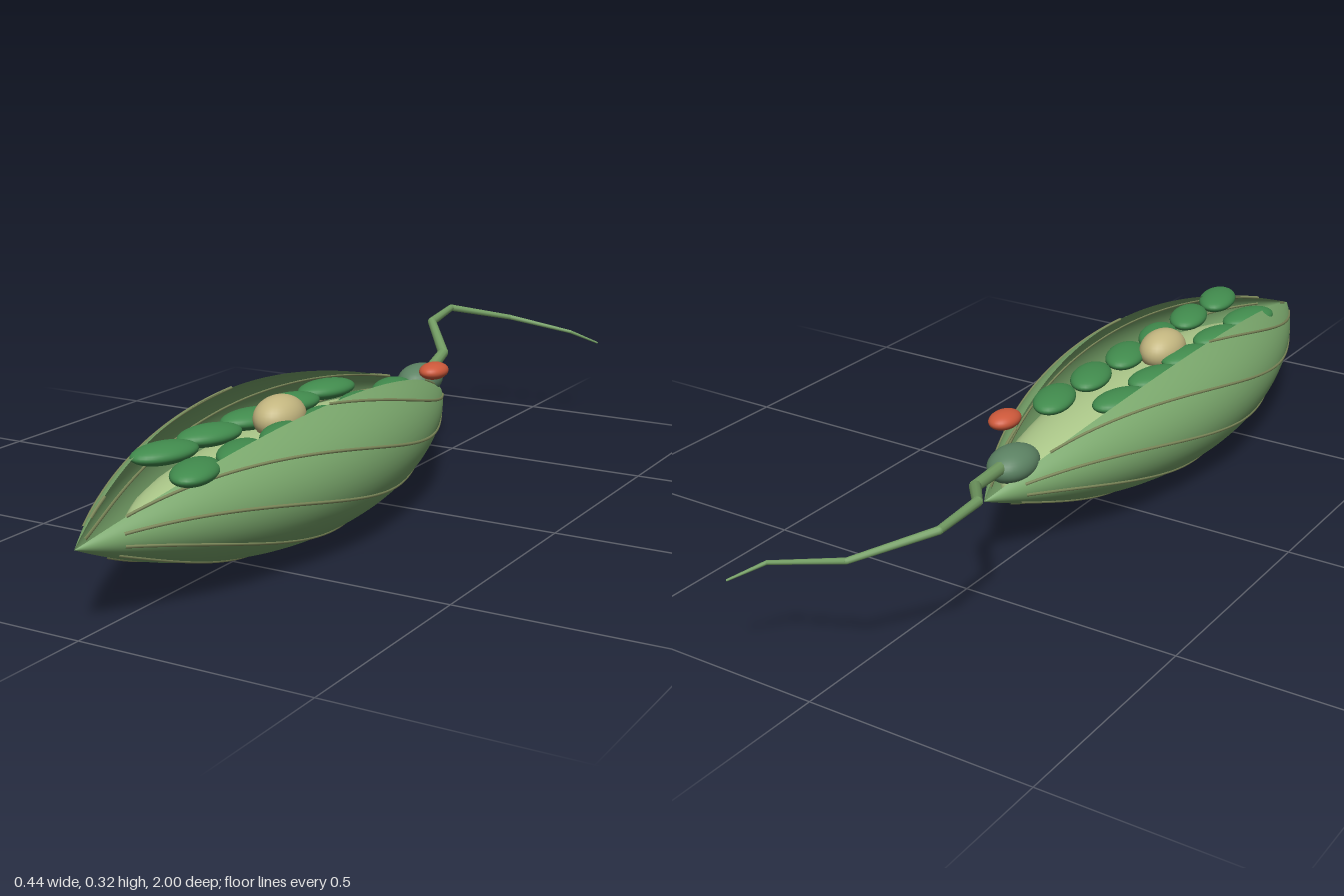
import * as THREE from 'three';

const mat = (name, color, side = THREE.FrontSide) =>
  Object.assign(new THREE.MeshStandardMaterial({ color, side }), { name });

// Spindle-shaped body: centre, half-length and half-axes of its widest section
const MID_Z = 0.285, HALF = 0.715, CY = 0.175, RX = 0.22, RY = 0.17;
const RIM = 0.62; // angle of each rim from straight up

// Point on the spindle at t (-1 back tip .. 1 front tip) and angle a
function onBody(t, a) {
  const f = 1 - t * t;
  return new THREE.Vector3(RX * f * Math.cos(a), CY + RY * f * Math.sin(a), MID_Z + HALF * t);
}

export function createModel() {
  const model = new THREE.Group();
  const skin = mat('skin green', 0x7aa76c, THREE.DoubleSide);
  const ridge = mat('ridge olive', 0x7f8b5c);
  const jelly = mat('pale green', 0xaeca8b);
  const leaf = mat('leaf green', 0x418b4d);
  const tan = mat('tan', 0xc2b57f);
  const red = mat('red', 0xcc583a);
  const dusky = mat('dusky green', 0x5b8162);
  const whip = mat('whip green', 0x749e64);

  const add = (name, geo, material, parent = model) => {
    const m = new THREE.Mesh(geo, material);
    m.name = name;
    parent.add(m);
    return m;
  };
  const ellipsoid = (name, material, pos, radii, turn = 0) => {
    const m = add(name, new THREE.SphereGeometry(1, 32, 20), material);
    m.position.set(...pos);
    m.scale.set(...radii);
    m.rotation.y = turn;
    return m;
  };

  // Outer skin, open along the top
  const shell = new THREE.PlaneGeometry(1, 1, 56, 56);
  const p = shell.attributes.position;
  const start = Math.PI / 2 + RIM, sweep = 2 * Math.PI - 2 * RIM;
  for (let i = 0; i < p.count; i++) {
    const v = onBody(p.getY(i) * 2, start + (p.getX(i) + 0.5) * sweep);
    p.setXYZ(i, v.x, v.y, v.z);
  }
  shell.computeVertexNormals();
  add('outerSkin', shell, skin);

  // Spiral ridges, interrupted at the opening
  const ridges = new THREE.Group();
  ridges.name = 'spiralRidges';
  model.add(ridges);
  const flush = (run) => {
    if (run.length > 3) {
      const curve = new THREE.CatmullRomCurve3(run);
      add('ridge', new THREE.TubeGeometry(curve, run.length * 2, 0.0036, 6), ridge, ridges);
    }
  };
  for (let k = 0; k < 10; k++) {
    let run = [];
    for (let i = 0; i <= 60; i++) {
      const t = 0.88 - (i / 60) * 1.76;
      const a = THREE.MathUtils.degToRad(16 + k * 36) + 0.8 * t;
      if (Math.sin(a) < Math.cos(RIM) + 0.015) run.push(onBody(t, a));
      else { flush(run); run = []; }
    }
    flush(run);
  }

  // Soft filling and the organs resting on it
  ellipsoid('filling', jelly, [0, 0.15, 0.245], [0.165, 0.095, 0.575]);
  ellipsoid('nucleus', tan, [0, 0.268, 0.315], [0.051, 0.047, 0.07]);
  const disc = (x, z, turn) =>
    ellipsoid('greenDisc', leaf, [x, 0.258, z], [0.045, 0.022, 0.079], turn);
  for (let i = 0; i < 5; i++) disc(-0.065, 0.015 + i * 0.155, -0.28);
  for (let i = 0; i < 6; i++) disc(0.065, -0.06 + i * 0.155, 0.28);
  ellipsoid('eyespot', red, [0.083, 0.268, -0.23], [0.032, 0.02, 0.044]);
  ellipsoid('reservoir', dusky, [0, 0.22, -0.32], [0.05, 0.038, 0.07]);

  // Tapering whip made of straight segments
  const tail = new THREE.Group();
  tail.name = 'whip';
  model.add(tail);
  const rod = (name, a, b, ra, rb) => {
    const d = b.clone().sub(a);
    const m = add(name, new THREE.CylinderGeometry(rb, ra, d.length(), 10), whip, tail);
    m.position.copy(a).addScaledVector(d, 0.5);
    m.quaternion.setFromUnitVectors(new THREE.Vector3(0, 1, 0), d.normalize());
  };
  const path = [
    [0, 0.228, -0.36], [-0.03, 0.248, -0.5], [-0.13, 0.295, -0.63], [-0.15, 0.305, -0.78],
    [-0.035, 0.268, -0.91], [0.125, 0.237, -0.95], [0.185, 0.204, -0.998],
  ].map((v) => new THREE.Vector3(...v));
  const radius = (i) => 0.015 - i * 0.0021;
  for (let i = 0; i < path.length - 1; i++) {
    rod('whipSegment', path[i], path[i + 1], radius(i), radius(i + 1));
    if (i) {
      const joint = add('whipJoint', new THREE.SphereGeometry(radius(i), 10, 8), whip, tail);
      joint.position.copy(path[i]);
    }
  }

  return model;
}
